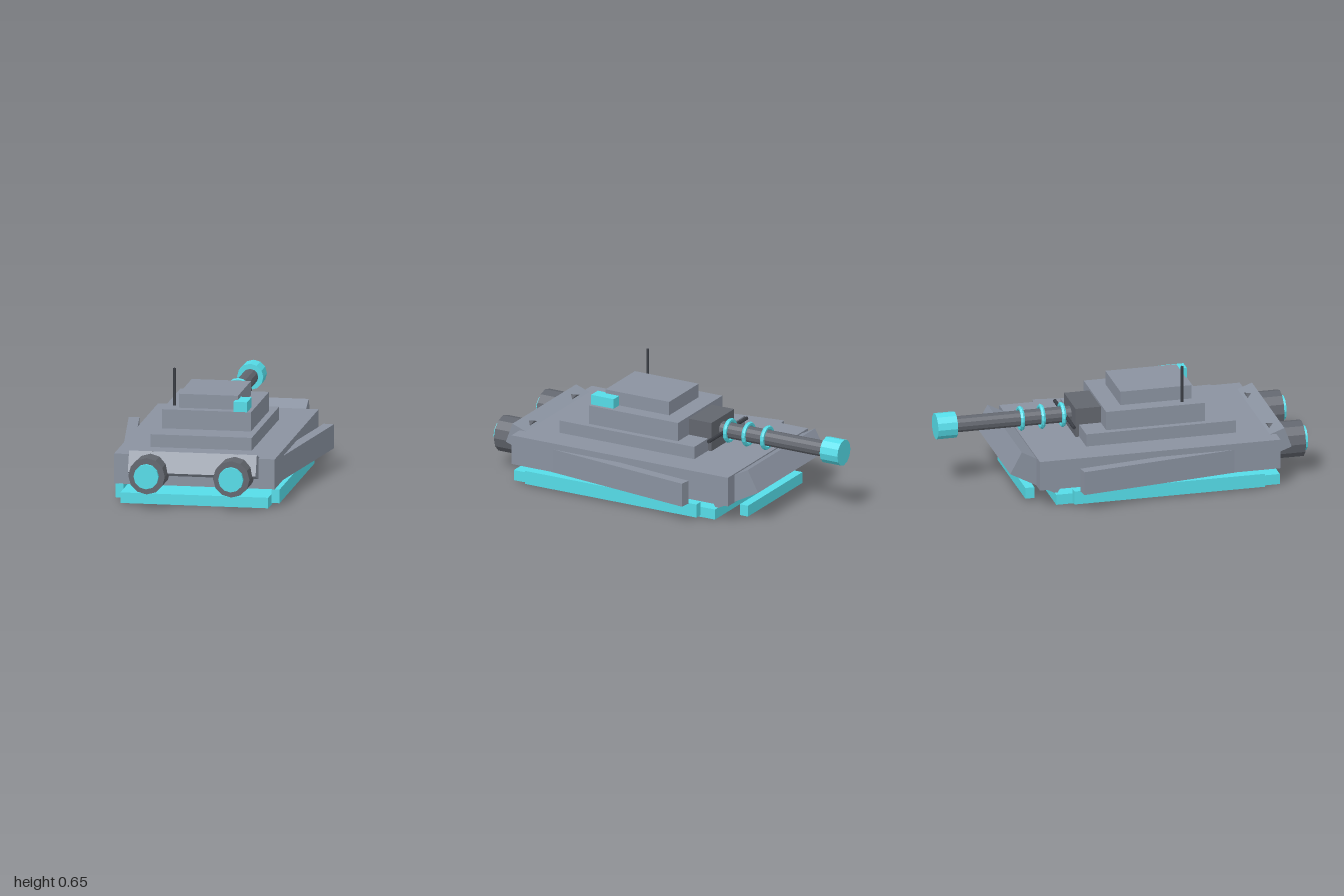
import * as THREE from 'three';

const paint = (color) => new THREE.MeshStandardMaterial({ color, flatShading: true });

export function createModel() {
  const model = new THREE.Group();
  const grey = paint(0x8a92a0);
  const dark = paint(0x62666e);
  const black = paint(0x3a3d44);
  const cyan = paint(0x55dce8);

  const add = (name, geometry, material, x = 0, y = 0, z = 0) => {
    const mesh = new THREE.Mesh(geometry, material);
    mesh.name = name;
    mesh.position.set(x, y, z);
    model.add(mesh);
    return mesh;
  };

  // Box given by its limits on each axis
  const block = (name, material, [x0, x1], [y0, y1], [z0, z1]) =>
    add(name, new THREE.BoxGeometry(x1 - x0, y1 - y0, z1 - z0), material,
      (x0 + x1) / 2, (y0 + y1) / 2, (z0 + z1) / 2);

  // Cylinder lying along z between two depths
  const drum = (name, material, radius, sides, x, y, z0, z1) =>
    add(name, new THREE.CylinderGeometry(radius, radius, z1 - z0, sides).rotateX(Math.PI / 2),
      material, x, y, (z0 + z1) / 2);

  // Hull with tilted plates at both ends
  block('hull', grey, [-0.44, 0.44], [0.105, 0.27], [-0.53, 0.81]);
  add('frontPlate', new THREE.BoxGeometry(0.7, 0.118, 0.275), grey, 0, 0.197, 0.746)
    .rotation.x = -0.35;
  add('rearPlate', new THREE.BoxGeometry(0.74, 0.136, 0.295), grey, 0, 0.178, -0.515)
    .rotation.x = 0.49;

  // Glowing underside
  block('basePlate', cyan, [-0.405, 0.405], [0, 0.058], [-0.43, 0.815]);
  block('rearGlowBar', cyan, [-0.3, 0.3], [0.01, 0.072], [-0.575, -0.525]);

  // Mirrored side parts and front thrusters
  for (const [side, s] of [['left', 1], ['right', -1]]) {
    add(side + 'GlowStrip', new THREE.BoxGeometry(0.045, 0.075, 1.06), cyan, s * 0.4275, 0.0475, 0.19);
    add(side + 'Skirt', new THREE.BoxGeometry(0.058, 0.132, 0.95), grey, s * 0.467, 0.17, 0.153)
      .rotation.y = -s * 0.14;
    drum(side + 'Thruster', dark, 0.1, 12, s * 0.232, 0.187, 0.79, 0.98);
    drum(side + 'ThrusterGlow', cyan, 0.068, 12, s * 0.232, 0.187, 0.95, 1);
  }

  // Stepped turret
  block('turretBase', grey, [-0.277, 0.277], [0.27, 0.34], [-0.23, 0.605]);
  block('turretMiddle', grey, [-0.243, 0.243], [0.34, 0.445], [-0.11, 0.44]);
  block('turretTop', grey, [-0.162, 0.162], [0.445, 0.522], [-0.01, 0.385]);
  block('sensor', cyan, [0.148, 0.222], [0.445, 0.5], [0.3, 0.44]);
  add('antenna', new THREE.CylinderGeometry(0.008, 0.008, 0.205, 8), black, -0.196, 0.5475, 0.325);

  // Gun
  const gunY = 0.358;
  block('mantlet', dark, [-0.125, 0.125], [0.27, 0.432], [-0.25, -0.11]);
  drum('barrel', dark, 0.044, 12, 0, gunY, -0.92, -0.22);
  drum('muzzle', cyan, 0.072, 12, 0, gunY, -1, -0.89);
  for (const z of [-0.295, -0.41, -0.525]) {
    add('barrelRing', new THREE.TorusGeometry(0.057, 0.012, 6, 16), cyan, 0, gunY, z);
  }
  add('crossRod', new THREE.CylinderGeometry(0.01, 0.01, 0.42, 8), black, 0, gunY, -0.28)
    .rotation.z = Math.PI / 2;

  return model;
}
